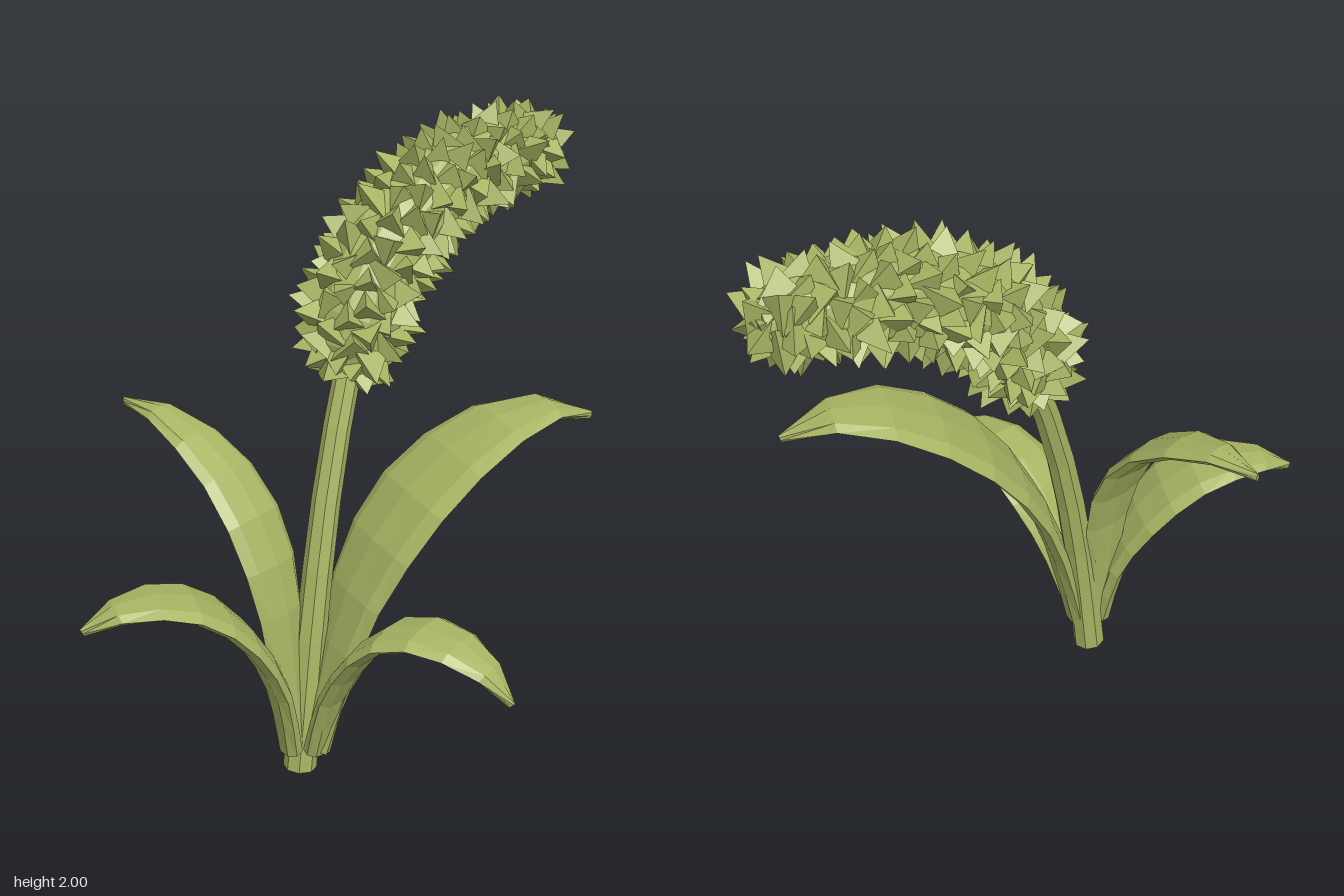
import * as THREE from 'three';
import { mergeGeometries } from 'three/addons/utils/BufferGeometryUtils.js';

const V = (p) => new THREE.Vector3(...p);
const green = new THREE.MeshStandardMaterial({ color: 0xa8b463, flatShading: true });
green.name = 'leaf green';

// Small seeded random generator
function seeded(seed) {
  return () => {
    seed = (seed * 16807) % 2147483647;
    return seed / 2147483647;
  };
}

// Piecewise linear lookup in a list of [t, value]
function lookup(table, t) {
  for (let i = 1; i < table.length; i++) {
    const [t0, a] = table[i - 1], [t1, b] = table[i];
    if (t <= t1) return a + (b - a) * (t - t0) / (t1 - t0);
  }
  return table[table.length - 1][1];
}

// Direction pair across a curve that bends in one upright plane
function frame(curve, side, t) {
  const centre = curve.getPointAt(t);
  const tangent = curve.getTangentAt(t);
  const normal = new THREE.Vector3().crossVectors(tangent, side).normalize();
  return { centre, tangent, normal };
}

// Closed elliptical sweep along a curve; size(t) gives [half width, half thickness]
function sweep(curve, side, rings, sides, size) {
  const pos = [], index = [];
  for (let i = 0; i <= rings; i++) {
    const t = i / rings;
    const { centre, normal } = frame(curve, side, t);
    const [w, h] = size(t);
    for (let j = 0; j < sides; j++) {
      const a = (j / sides) * Math.PI * 2;
      const p = centre.clone()
        .addScaledVector(side, Math.cos(a) * w)
        .addScaledVector(normal, Math.sin(a) * h);
      pos.push(p.x, p.y, p.z);
    }
  }
  const first = pos.length / 3, last = first + 1;
  pos.push(...curve.getPointAt(0).toArray(), ...curve.getPointAt(1).toArray());
  for (let j = 0; j < sides; j++) {
    const k = (j + 1) % sides;
    for (let i = 0; i < rings; i++) {
      const a = i * sides + j, b = i * sides + k;
      index.push(a, b, a + sides, b, b + sides, a + sides);
    }
    index.push(first, k, j, last, rings * sides + j, rings * sides + k);
  }
  const geo = new THREE.BufferGeometry();
  geo.setAttribute('position', new THREE.Float32BufferAttribute(pos, 3));
  geo.setIndex(index);
  geo.computeVertexNormals();
  return geo;
}

// Leaf from its root and tip on the ground plane and [x, y] points along its arch
const leafWidth = [[0, 0.4], [0.25, 0.7], [0.45, 0.95], [0.58, 1], [0.75, 0.86], [0.9, 0.46], [1, 0.05]];
const leafThickness = [[0, 0.036], [0.5, 0.031], [0.88, 0.027], [1, 0.014]];
function leaf(rootZ, tipZ, halfWidth, arch) {
  const x0 = arch[0][0], x1 = arch[arch.length - 1][0];
  const points = arch.map(([x, y]) =>
    new THREE.Vector3(x, y, rootZ + (tipZ - rootZ) * (x - x0) / (x1 - x0)));
  const side = new THREE.Vector3(-(tipZ - rootZ), 0, x1 - x0).normalize();
  const curve = new THREE.CatmullRomCurve3(points);
  return sweep(curve, side, 9, 8, (t) => [halfWidth * lookup(leafWidth, t), lookup(leafThickness, t)]);
}

export function createModel() {
  const group = new THREE.Group();
  const add = (name, geo) => {
    const mesh = new THREE.Mesh(geo, green);
    mesh.name = name;
    group.add(mesh);
  };
  const bendSide = new THREE.Vector3(0.65, 0, 0.76).normalize();

  // Leaning stem
  const stemCurve = new THREE.CatmullRomCurve3([
    [-0.15, 0, 0.24], [-0.14, 0.12, 0.235], [-0.095, 0.6, 0.18], [-0.04, 1.0, 0.09], [0.025, 1.32, -0.01],
  ].map(V));
  add('stem', sweep(stemCurve, bendSide, 6, 8, (t) => [0.054 - 0.012 * t, 0.054 - 0.012 * t]));

  // Four arching leaves
  add('backLeftLeaf', leaf(0.265, -0.11, 0.2, [
    [-0.1, 0.1], [-0.03, 0.42], [0.05, 0.66], [0.17, 0.86], [0.3, 0.99], [0.48, 1.095], [0.65, 1.118], [0.795, 1.06]]));
  add('frontLeftLeaf', leaf(0.295, 0.7, 0.128, [
    [-0.1, 0.1], [-0.04, 0.33], [0.05, 0.51], [0.13, 0.6], [0.23, 0.635], [0.32, 0.62], [0.4, 0.57], [0.46, 0.49]]));
  add('frontRightLeaf', leaf(0.285, 0.49, 0.15, [
    [-0.18, 0.1], [-0.22, 0.33], [-0.29, 0.49], [-0.38, 0.61], [-0.5, 0.69], [-0.62, 0.71], [-0.72, 0.69], [-0.795, 0.65]]));
  add('backRightLeaf', leaf(0.265, -0.18, 0.12, [
    [-0.17, 0.1], [-0.19, 0.4], [-0.22, 0.66], [-0.28, 0.85], [-0.38, 1.0], [-0.5, 1.085], [-0.6, 1.115], [-0.685, 1.11]]));

  // Curved core of the flower head
  const headCurve = new THREE.CatmullRomCurve3([
    [0.015, 1.27, 0.0], [0.045, 1.43, -0.05], [0.13, 1.61, -0.145],
    [0.275, 1.74, -0.275], [0.45, 1.805, -0.42], [0.68, 1.82, -0.6],
  ].map(V));
  const headRadius = [[0, 0.08], [0.1, 0.138], [0.4, 0.147], [0.8, 0.128], [0.95, 0.105], [1, 0.07]];
  add('flowerHeadCore', sweep(headCurve, bendSide, 14, 12, (t) => {
    const r = lookup(headRadius, t);
    return [r, r];
  }));

  // Broad three-sided florets spiralling over the core and its ends
  const random = seeded(77);
  const up = new THREE.Vector3(0, 1, 0);
  const florets = [];
  const count = 230;
  for (let i = 0; i < count; i++) {
    const t = (i + 0.5) / count;
    const { centre, tangent, normal } = frame(headCurve, bendSide, t);
    const a = i * 2.39996;
    const radial = bendSide.clone().multiplyScalar(Math.cos(a)).addScaledVector(normal, Math.sin(a));
    const lean = t < 0.06 ? -0.5 : t > 0.92 ? (t - 0.92) * 14 : 0;
    const dir = radial.clone().addScaledVector(tangent, lean + (random() - 0.5) * 0.8)
      .addScaledVector(new THREE.Vector3().crossVectors(tangent, radial), (random() - 0.5) * 0.8).normalize();
    const height = 0.085 + random() * 0.045;
    const radius = lookup(headRadius, t) * (t > 0.96 ? 0.4 + 0.6 * random() : 1);
    const geo = new THREE.ConeGeometry(0.066 + random() * 0.02, height, 3);
    geo.rotateY(random() * Math.PI * 2);
    geo.applyQuaternion(new THREE.Quaternion().setFromUnitVectors(up, dir));
    const p = centre.addScaledVector(radial, radius - 0.02).addScaledVector(dir, height * 0.3);
    geo.translate(p.x, p.y, p.z);
    florets.push(geo);
  }
  add('florets', mergeGeometries(florets));

  return group;
}
